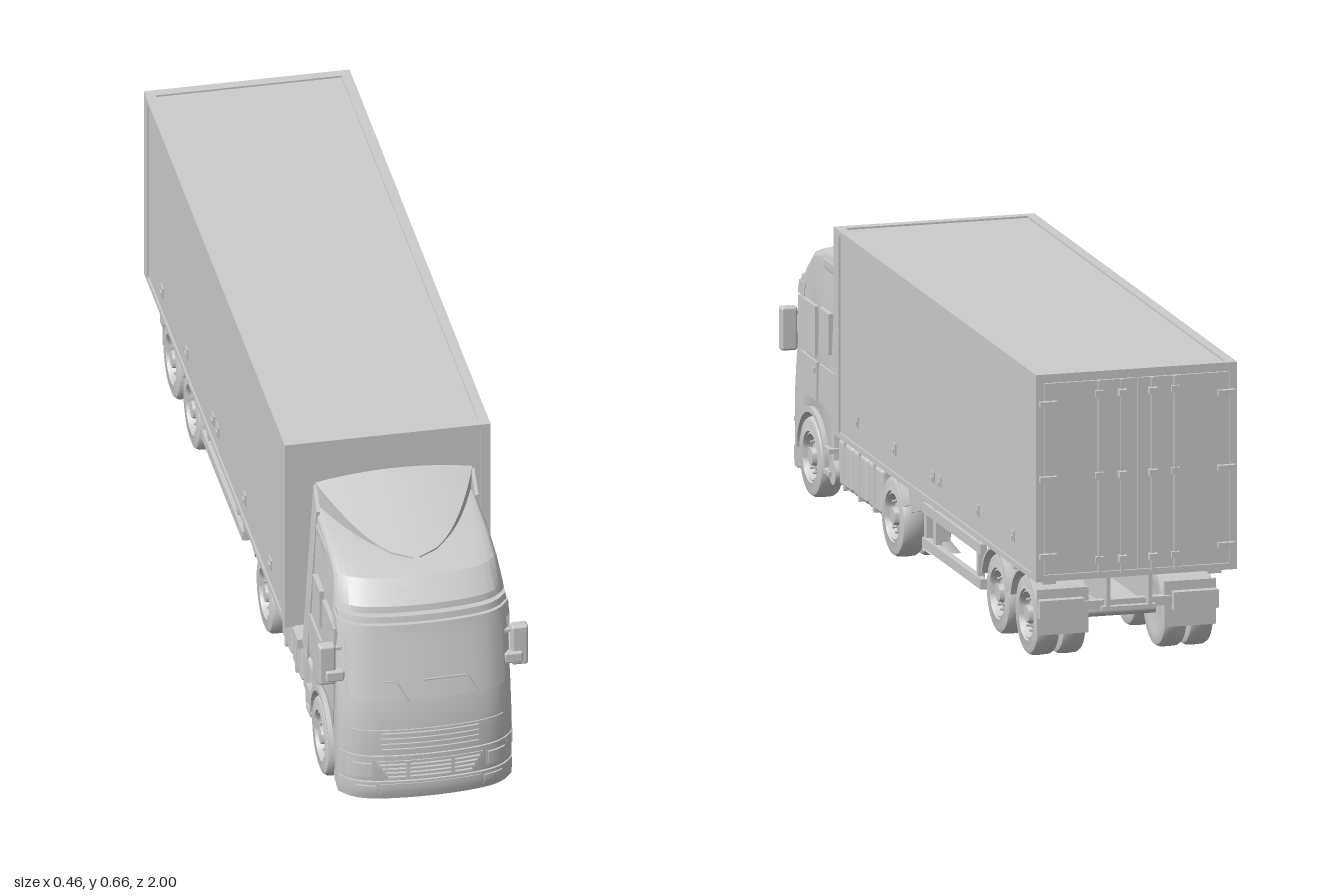
import * as THREE from 'three';
import { toCreasedNormals } from 'three/addons/utils/BufferGeometryUtils.js';
import { RoundedBoxGeometry } from 'three/addons/geometries/RoundedBoxGeometry.js';

const mat = new THREE.MeshStandardMaterial({ color: 0xcccccc });
const matDouble = new THREE.MeshStandardMaterial({ color: 0xcccccc, side: THREE.DoubleSide });
const clamp = THREE.MathUtils.clamp;
const SIDES = [-1, 1];

function add(parent, name, geo, material = mat) {
  const m = new THREE.Mesh(geo, material);
  m.name = name;
  parent.add(m);
  return m;
}
// Box given by its bounds
function box(parent, name, x0, x1, y0, y1, z0, z1, round = 0) {
  const s = [Math.abs(x1 - x0), Math.abs(y1 - y0), Math.abs(z1 - z0)];
  const geo = round ? new RoundedBoxGeometry(...s, 2, round) : new THREE.BoxGeometry(...s);
  const m = add(parent, name, geo);
  m.position.set((x0 + x1) / 2, (y0 + y1) / 2, (z0 + z1) / 2);
  return m;
}
// Cylinder lying along x
function rod(parent, name, x0, x1, y, z, r, n = 16) {
  const m = add(parent, name, new THREE.CylinderGeometry(r, r, Math.abs(x1 - x0), n).rotateZ(Math.PI / 2));
  m.position.set((x0 + x1) / 2, y, z);
  return m;
}
// Side outline (z, y) extruded across x
function extrudeX(shape, x0, x1, opts = {}) {
  const b = opts.bevelSize || 0;
  const geo = new THREE.ExtrudeGeometry(shape, {
    depth: Math.abs(x1 - x0) - 2 * b, bevelEnabled: b > 0, bevelOffset: -b, bevelThickness: b, curveSegments: 20, ...opts });
  geo.rotateY(-Math.PI / 2);
  return geo.translate(Math.max(x0, x1) - b, 0, 0);
}
// Curved mudguard around a wheel centre, angles in degrees from the front
function guard(parent, name, x0, x1, z, r, a0, a1, t = 0.006) {
  const s = new THREE.Shape(), A = a0 * Math.PI / 180, B = a1 * Math.PI / 180;
  s.absarc(z, 0.088, r + t, A, B, false);
  s.absarc(z, 0.088, r, B, A, true);
  add(parent, name, toCreasedNormals(extrudeX(s, x0, x1), 0.6));
}

// Cab front: centre-line depth by height, corner sweep, and narrowing of the roof
const FRONT = [[0.03, 0.985], [0.06, 0.994], [0.2, 0.994], [0.27, 0.985], [0.43, 0.945], [0.48, 0.935], [0.525, 0.89], [0.55, 0.8]];
function centreZ(y) {
  for (let i = 1; i < FRONT.length; i++) {
    const [ya, za] = FRONT[i - 1], [yb, zb] = FRONT[i];
    if (y <= yb) return za + (zb - za) * clamp((y - ya) / (yb - ya), 0, 1);
  }
  return 0.8;
}
const taper = y => 1 - 0.08 * clamp((y - 0.43) / 0.12, 0, 1);
const sweep = x => { const u = Math.abs(x) / 0.19; return 0.025 * u ** 2 + 0.035 * u ** 8; };
const frontZ = (x, y) => centreZ(y) - sweep(x / taper(y));

// Panel that follows the curved cab front
function frontPanel(parent, name, x0, x1, y0, y1, proud) {
  const geo = new THREE.BoxGeometry(x1 - x0, y1 - y0, proud + 0.02, 20, 3, 1);
  geo.translate((x0 + x1) / 2, (y0 + y1) / 2, proud / 2 - 0.01);
  const p = geo.attributes.position;
  for (let i = 0; i < p.count; i++) p.setZ(i, p.getZ(i) + frontZ(p.getX(i), p.getY(i)));
  add(parent, name, toCreasedNormals(geo, 0.6));
}

function buildCab(root) {
  const cab = new THREE.Group();
  cab.name = 'cab';
  root.add(cab);
  // Shell with wheel arch cut-out
  const s = new THREE.Shape();
  s.moveTo(0.9, 0.035);
  FRONT.forEach(([y, z]) => s.lineTo(z, Math.max(y, 0.035)));
  [[0.61, 0.556], [0.59, 0.19], [0.655, 0.19], [0.655, 0.075], [0.686, 0.075]].forEach(q => s.lineTo(...q));
  s.absarc(0.787, 0.09, 0.1, Math.PI, 0, true);
  s.lineTo(0.888, 0.06);
  const geo = extrudeX(s, -0.19, 0.19, { steps: 24, bevelSize: 0.01, bevelSegments: 3 });
  const p = geo.attributes.position;
  for (let i = 0; i < p.count; i++) {
    const x = p.getX(i), y = p.getY(i), z = p.getZ(i), pivot = y > 0.2 ? 0.72 : 0.89;
    p.setXYZ(i, x * taper(y), y, z - sweep(x) * clamp((z - pivot) / Math.max(centreZ(y) - pivot, 0.05), 0, 1));
  }
  add(cab, 'cabShell', toCreasedNormals(geo, 0.5));
  box(cab, 'engine', -0.1, 0.1, 0.07, 0.22, 0.62, 0.93);
  box(cab, 'cabRearWall', -0.08, 0.08, 0.2, 0.5, 0.575, 0.6);

  // Windscreen, sun visor, grilles and bumper
  frontPanel(cab, 'windscreen', -0.172, 0.172, 0.275, 0.42, 0.003);
  frontPanel(cab, 'sunVisor', -0.188, 0.188, 0.422, 0.452, 0.026);
  frontPanel(cab, 'sunVisorTop', -0.184, 0.184, 0.452, 0.466, 0.016);
  frontPanel(cab, 'roofMarkerStrip', -0.055, 0.055, 0.5, 0.504, 0.003);
  frontPanel(cab, 'upperGrille', -0.165, 0.165, 0.148, 0.207, 0.003);
  for (let i = 0; i < 4; i++) frontPanel(cab, 'upperGrilleSlat', -0.107, 0.107, 0.154 + i * 0.013, 0.162 + i * 0.013, 0.007);
  frontPanel(cab, 'lightBand', -0.188, 0.188, 0.133, 0.144, 0.005);
  for (let i = 0; i < 5; i++) frontPanel(cab, 'lowerGrilleSlat', -0.092 - i * 0.006, 0.092 + i * 0.006, 0.086 + i * 0.01, 0.092 + i * 0.01, 0.006);
  frontPanel(cab, 'bumper', -0.189, 0.189, 0.036, 0.081, 0.006);
  frontPanel(cab, 'numberPlate', -0.11, 0.11, 0.043, 0.076, 0.008);
  for (const k of SIDES) {
    const span = (a, b) => k > 0 ? [a, b] : [-b, -a];
    frontPanel(cab, 'headlightFrame', ...span(0.125, 0.178), 0.092, 0.132, 0.003);
    frontPanel(cab, 'headlight', ...span(0.128, 0.168), 0.1, 0.127, 0.008);
    frontPanel(cab, 'fogLight', ...span(0.118, 0.16), 0.045, 0.073, 0.01);
    frontPanel(cab, 'grilleUpright', ...span(0.045, 0.053), 0.086, 0.132, 0.007);
  }
  for (const pts of [[[-0.045, 0.273], [-0.07, 0.317], [-0.105, 0.318]], [[0.11, 0.273], [0.085, 0.317], [-0.01, 0.318]]]) {
    const path = new THREE.CurvePath();
    const v = pts.map(([x, y]) => new THREE.Vector3(x, y, frontZ(x, y) + 0.005));
    path.add(new THREE.LineCurve3(v[0], v[1]));
    path.add(new THREE.LineCurve3(v[1], v[2]));
    add(cab, 'wiper', new THREE.TubeGeometry(path, 16, 0.002, 6));
  }

  // Roof air deflector: sections grow from the front towards the rear
  const verts = [], idx = [], rows = 12, cols = 16;
  for (let i = 0; i <= rows; i++) {
    const t = i / rows, w = 0.172 * Math.sqrt(Math.max(t, 0.002)), z = 0.84 - 0.235 * t;
    const top = u => 0.542 + 0.068 * t + 0.016 * t * (1 - u * u);
    verts.push(-w * 0.97, 0.53, z);
    for (let j = 0; j <= cols; j++) { const u = j / cols * 2 - 1; verts.push(w * u, top(u), z); }
    verts.push(w * 0.97, 0.53, z);
  }
  const n = cols + 3;
  for (let i = 0; i < rows; i++) for (let j = 0; j < n - 1; j++) {
    const a = i * n + j, b = a + n;
    idx.push(a, a + 1, b, b, a + 1, b + 1);
  }
  for (let j = 1; j < n - 1; j++) idx.push(rows * n, rows * n + j, rows * n + j + 1);
  const air = new THREE.BufferGeometry();
  air.setAttribute('position', new THREE.Float32BufferAttribute(verts, 3));
  air.setIndex(idx);
  add(cab, 'roofDeflector', toCreasedNormals(air, 0.6), matDouble);

  for (const k of SIDES) {
    // Windows, door, handle, rear side fin
    box(cab, 'doorPanel', k * 0.18, k * 0.1915, 0.215, 0.3, 0.765, 0.895);
    box(cab, 'doorWindow', k * 0.18, k * 0.192, 0.31, 0.42, 0.775, 0.9);
    box(cab, 'rearSideWindow', k * 0.18, k * 0.192, 0.335, 0.425, 0.675, 0.75);
    box(cab, 'doorHandle', k * 0.18, k * 0.195, 0.275, 0.285, 0.775, 0.8);
    box(cab, 'sideLocker', k * 0.18, k * 0.191, 0.215, 0.3, 0.63, 0.75);
    box(cab, 'roofSideVent', k * 0.16, k * 0.179, 0.505, 0.535, 0.64, 0.76, 0.008);
    const fin = new THREE.Shape([[0.575, 0.19], [0.625, 0.19], [0.645, 0.56], [0.605, 0.605]].map(q => new THREE.Vector2(...q)));
    const f = extrudeX(fin, -0.004, 0.004);
    const q = f.attributes.position;
    for (let i = 0; i < q.count; i++) q.setX(i, q.getX(i) + k * (0.19 - 0.018 * clamp((q.getY(i) - 0.19) / 0.4, 0, 1)));
    f.computeVertexNormals();
    add(cab, 'sideFin', f);
    guard(cab, 'frontArchFlare', k * 0.17, k * 0.2, 0.787, 0.097, 0, 180, 0.012);
    box(cab, 'cabStep', k * 0.16, k * 0.2, 0.075, 0.085, 0.645, 0.69);
    box(cab, 'cabStep', k * 0.16, k * 0.2, 0.125, 0.135, 0.645, 0.69);
    // Mirrors on arms
    box(cab, 'mirror', k * 0.192, k * 0.229, 0.297, 0.393, 0.9, 0.926, 0.006);
    box(cab, 'mirrorArm', k * 0.175, k * 0.215, 0.308, 0.333, 0.914, 0.934, 0.004);
    box(cab, 'mirrorArmUpper', k * 0.175, k * 0.2, 0.375, 0.382, 0.905, 0.915);
  }
}

// Tyre and rim, outer face towards +x
const tyreProfile = [[0, -0.024], [0.045, -0.024], [0.054, -0.026], [0.074, -0.027], [0.083, -0.024], [0.087, -0.017], [0.088, 0],
  [0.087, 0.017], [0.083, 0.024], [0.074, 0.027], [0.056, 0.026], [0.054, 0.021], [0.05, 0.023], [0.045, 0.006],
  [0.032, 0.008], [0.027, 0.013], [0.02, 0.014], [0.018, 0.025], [0, 0.025]].map(q => new THREE.Vector2(...q));
const tyreGeo = toCreasedNormals(new THREE.LatheGeometry(tyreProfile, 36).rotateZ(-Math.PI / 2), 0.6);
const boltGeo = new THREE.CylinderGeometry(0.003, 0.003, 0.014, 6).rotateZ(Math.PI / 2);

function axle(root, name, z, dual) {
  const g = new THREE.Group();
  g.name = name;
  g.position.set(0, 0.088, z);
  root.add(g);
  rod(g, 'axleBeam', -0.15, 0.15, 0, 0, 0.014);
  for (const k of SIDES) for (const x of dual ? [0.172, 0.113] : [0.174]) {
    const w = new THREE.Group();
    w.name = 'wheel';
    w.position.x = k * x;
    if (k < 0) w.rotation.y = Math.PI;
    g.add(w);
    add(w, 'tyreAndRim', tyreGeo);
    if (x > 0.15) for (let i = 0; i < 10; i++) {
      const a = i / 10 * Math.PI * 2;
      add(w, 'wheelBolt', boltGeo).position.set(0.012, 0.035 * Math.cos(a), 0.035 * Math.sin(a));
    }
  }
}

function buildTractorChassis(root) {
  const g = new THREE.Group();
  g.name = 'tractorChassis';
  root.add(g);
  box(g, 'chassisFloor', -0.055, 0.055, 0.1, 0.11, 0.09, 0.95);
  for (const k of SIDES) {
    box(g, 'chassisRail', k * 0.045, k * 0.065, 0.1, 0.165, 0.08, 0.95);
    guard(g, 'driveMudguard', k * 0.085, k * 0.2, 0.187, 0.096, 100, 155);
    const flap = box(g, 'driveMudflap', k * 0.09, k * 0.19, 0.12, 0.18, 0.078, 0.084);
    flap.rotation.x = 0.35;
    for (let i = 0; i < 3; i++) {
      const z = 0.31 + i * 0.11;
      box(g, 'fuelTank', k * 0.07, k * 0.185, 0.06, 0.165, z, z + 0.102, 0.012);
      box(g, 'tankStrap', k * 0.07, k * 0.188, 0.058, 0.168, z + 0.045, z + 0.055, 0.003);
    }
    rod(g, 'airTank', k * 0.07, k * 0.195, 0.085, 0.638, 0.026, 20);
  }
  box(g, 'sideDeck', -0.2, -0.09, 0.168, 0.19, 0.45, 0.555);
  for (let i = 0; i < 4; i++) box(g, 'catwalkSlat', 0.08 + i * 0.022, 0.094 + i * 0.022, 0.168, 0.178, 0.45, 0.585);
  box(g, 'rearCrossmember', -0.08, 0.08, 0.11, 0.17, 0.53, 0.6);
  add(g, 'couplingPlate', new THREE.CylinderGeometry(0.075, 0.075, 0.02, 28)).position.set(0, 0.175, 0.19);
}

function buildTrailer(root) {
  const g = new THREE.Group();
  g.name = 'trailer';
  g.position.x = 0.005;
  root.add(g);
  const W = 0.225, F = 0.515, R = -0.983, B = 0.2, T = 0.655;
  box(g, 'cargoBody', -W + 0.004, W - 0.004, B, T - 0.004, R + 0.005, F - 0.004);
  for (const k of SIDES) {
    // Frame rails and corner posts
    box(g, 'roofSideRail', k * (W - 0.022), k * W, T - 0.012, T, R, F);
    box(g, 'floorSideRail', k * (W - 0.022), k * W, B, B + 0.012, R, F);
    box(g, 'frontPost', k * (W - 0.022), k * W, B, T, F - 0.04, F);
    box(g, 'rearPost', k * (W - 0.016), k * W, B, T, R, R + 0.036);
    // Rear doors with lock rods and hinges
    box(g, 'rearDoor', k * 0.003, k * (W - 0.02), B + 0.016, T - 0.02, R - 0.001, R + 0.02);
    for (const x of [0.034, 0.085]) {
      box(g, 'lockRod', k * x - 0.003, k * x + 0.003, B + 0.01, T - 0.02, R - 0.008, R);
      for (const y of [0.235, 0.42, 0.6]) box(g, 'lockBracket', k * x - 0.009, k * x + 0.009, y, y + 0.014, x < 0.05 ? -1 : -0.994, R);
    }
    for (const y of [0.25, 0.42, 0.585]) box(g, 'doorHinge', k * (W - 0.045), k * (W - 0.006), y, y + 0.012, -0.995, R);
    // Side latches
    for (const z of [0.35, 0.075, -0.21, -0.26, -0.54, -0.8]) {
      box(g, 'latchPlate', k * (W - 0.008), k * (W - 0.001), 0.25, 0.275, z - 0.012, z + 0.012);
      box(g, 'latch', k * (W - 0.008), k * (W + 0.002), 0.254, 0.264, z - 0.008, z + 0.008);
    }
    // Under-frame and landing legs
    box(g, 'underRail', k * 0.17, k * 0.2, 0.186, B, -0.95, 0.475);
    box(g, 'mainBeamWeb', k * 0.042, k * 0.052, 0.12, B, -0.93, 0.02);
    box(g, 'landingLeg', k * 0.13, k * 0.16, 0.075, B, -0.037, -0.002);
    const foot = add(g, 'landingFoot', new THREE.CylinderGeometry(0.022, 0.048, 0.025, 4).rotateY(Math.PI / 4));
    foot.position.set(k * 0.145, 0.067, -0.02);
    // Side guard frame
    for (const y of [0.075, 0.152]) box(g, 'sideGuardRail', k * 0.185, k * 0.2, y, y + 0.022, -0.49, -0.058);
    for (const z of [-0.065, -0.135, -0.45]) box(g, 'sideGuardPost', k * 0.18, k * 0.195, 0.075, B, z - 0.008, z + 0.008);
    // Mudguards, flaps, rear lights
    for (const z of [-0.59, -0.803]) guard(g, 'trailerMudguard', k * 0.082, k * 0.2, z, 0.095, 15, 165);
    box(g, 'rearMudflap', k * 0.085, k * 0.2, 0.065, 0.165, -0.908, -0.902);
    box(g, 'rearLight', k * 0.1, k * 0.2, 0.105, 0.145, -0.93, -0.91);
  }
  box(g, 'roofFrontRail', -W, W, T - 0.014, T, F - 0.022, F);
  box(g, 'roofRearRail', -W, W, T - 0.018, T, R, R + 0.022);
  box(g, 'rearSill', -W, W, B, B + 0.014, R, R + 0.03);
  box(g, 'mainBeamFlange', -0.06, 0.06, 0.115, 0.123, -0.93, 0.02);
  box(g, 'kingpinPlate', -0.15, 0.15, 0.184, B, 0.02, 0.4);
  for (const z of [-0.02, -0.135, -0.45, -0.695]) box(g, 'crossmember', -0.19, 0.19, 0.165, 0.185, z - 0.008, z + 0.008);
  box(g, 'rearBumper', -0.2, 0.2, 0.115, 0.135, -0.915, -0.895);
}

export function createModel() {
  const root = new THREE.Group();
  root.name = 'articulatedTruck';
  buildCab(root);
  buildTractorChassis(root);
  buildTrailer(root);
  axle(root, 'frontAxle', 0.787, false);
  axle(root, 'driveAxle', 0.187, true);
  axle(root, 'trailerAxleFront', -0.59, true);
  axle(root, 'trailerAxleRear', -0.803, true);
  return root;
}
